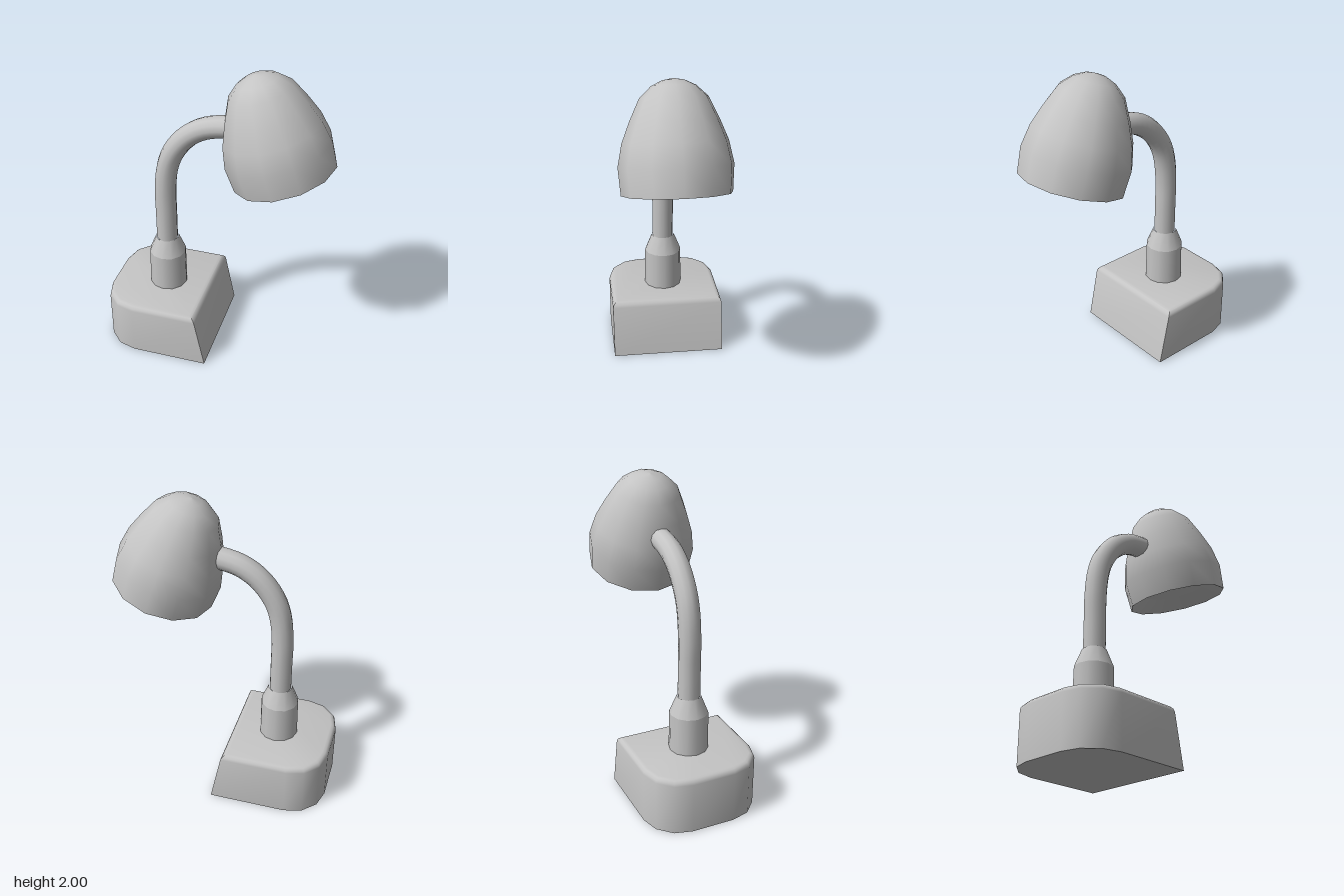
import * as THREE from 'three';
import { toCreasedNormals } from 'three/addons/utils/BufferGeometryUtils.js';

const SIDES = 12;

// Base block: stacked outlines, rounded at the back, with a sloping straight edge at +x
function baseGeometry() {
  const height = 0.37, half = 0.37, corner = 0.23, bevel = 0.035;
  const levels = [[0, 0]];
  for (let i = 0; i <= 3; i++) {
    const a = (i / 3) * Math.PI / 2;
    levels.push([height - bevel + bevel * Math.sin(a), bevel * (1 - Math.cos(a))]);
  }
  const positions = [], index = [];
  for (const [y, inset] of levels) {
    const frontX = -0.2 * y - inset;
    const w = half - inset, r = corner - inset;
    const ring = [[frontX, w]];
    for (const side of [1, -1]) {
      for (let i = 0; i <= 3; i++) {
        const a = ((side > 0 ? i : 3 - i) / 3) * Math.PI / 2;
        ring.push([-0.5 - r * Math.sin(a), side * (half - corner + r * Math.cos(a))]);
      }
    }
    ring.push([frontX, -w]);
    for (const [x, z] of ring) positions.push(x, y, z);
  }
  const n = 10;
  for (let l = 0; l < levels.length - 1; l++) {
    for (let i = 0; i < n; i++) {
      const a = l * n + i, b = l * n + (i + 1) % n;
      index.push(a, a + n, b, b, a + n, b + n);
    }
  }
  // Bottom and top caps
  const top = (levels.length - 1) * n;
  for (let i = 1; i < n - 1; i++) {
    index.push(0, i, i + 1);
    index.push(top, top + i + 1, top + i);
  }
  const g = new THREE.BufferGeometry();
  g.setAttribute('position', new THREE.Float32BufferAttribute(positions, 3));
  g.setIndex(index);
  return toCreasedNormals(g, 0.7);
}

export function createModel() {
  const lamp = new THREE.Group();
  lamp.name = 'deskLamp';
  const grey = new THREE.MeshStandardMaterial({ color: 0xc4c4c4 });
  grey.name = 'light grey';

  const add = (name, geometry, parent = lamp) => {
    const mesh = new THREE.Mesh(geometry, grey);
    mesh.name = name;
    parent.add(mesh);
    return mesh;
  };
  const lathe = (points) =>
    new THREE.LatheGeometry(points.map(([r, y]) => new THREE.Vector2(r, y)), SIDES);

  add('base', baseGeometry());

  // Socket: straight sleeve and tapered collar
  const stemX = -0.365;
  add('socket', new THREE.CylinderGeometry(0.122, 0.126, 0.26, SIDES, 1, true))
    .position.set(stemX, 0.49, 0);
  add('collar', new THREE.CylinderGeometry(0.076, 0.122, 0.115, SIDES, 1, true))
    .position.set(stemX, 0.6775, 0);

  // Bent neck
  const path = new THREE.CatmullRomCurve3([
    [stemX, 0.73], [stemX, 0.92], [stemX, 1.1], [-0.35, 1.25], [-0.32, 1.355],
    [-0.265, 1.45], [-0.19, 1.53], [-0.09, 1.59], [0.04, 1.62], [0.12, 1.625],
  ].map(([x, y]) => new THREE.Vector3(x, y, 0)));
  add('neck', new THREE.TubeGeometry(path, 28, 0.07, SIDES));

  // Tilted shade with a shallow reflector and a flat lens
  const head = new THREE.Group();
  head.name = 'head';
  head.position.set(0.41, 1.36, 0);
  head.rotation.z = 0.31;
  lamp.add(head);
  add('shade', lathe([
    [0.328, 0], [0.34, 0.165], [0.312, 0.3], [0.262, 0.425], [0.2, 0.555],
    [0.13, 0.62], [0.065, 0.651], [0, 0.662],
  ]), head);
  add('reflector', lathe([[0.205, 0.07], [0.328, 0]]), head);
  add('lens', lathe([[0, 0.07], [0.205, 0.07]]), head);

  return lamp;
}
